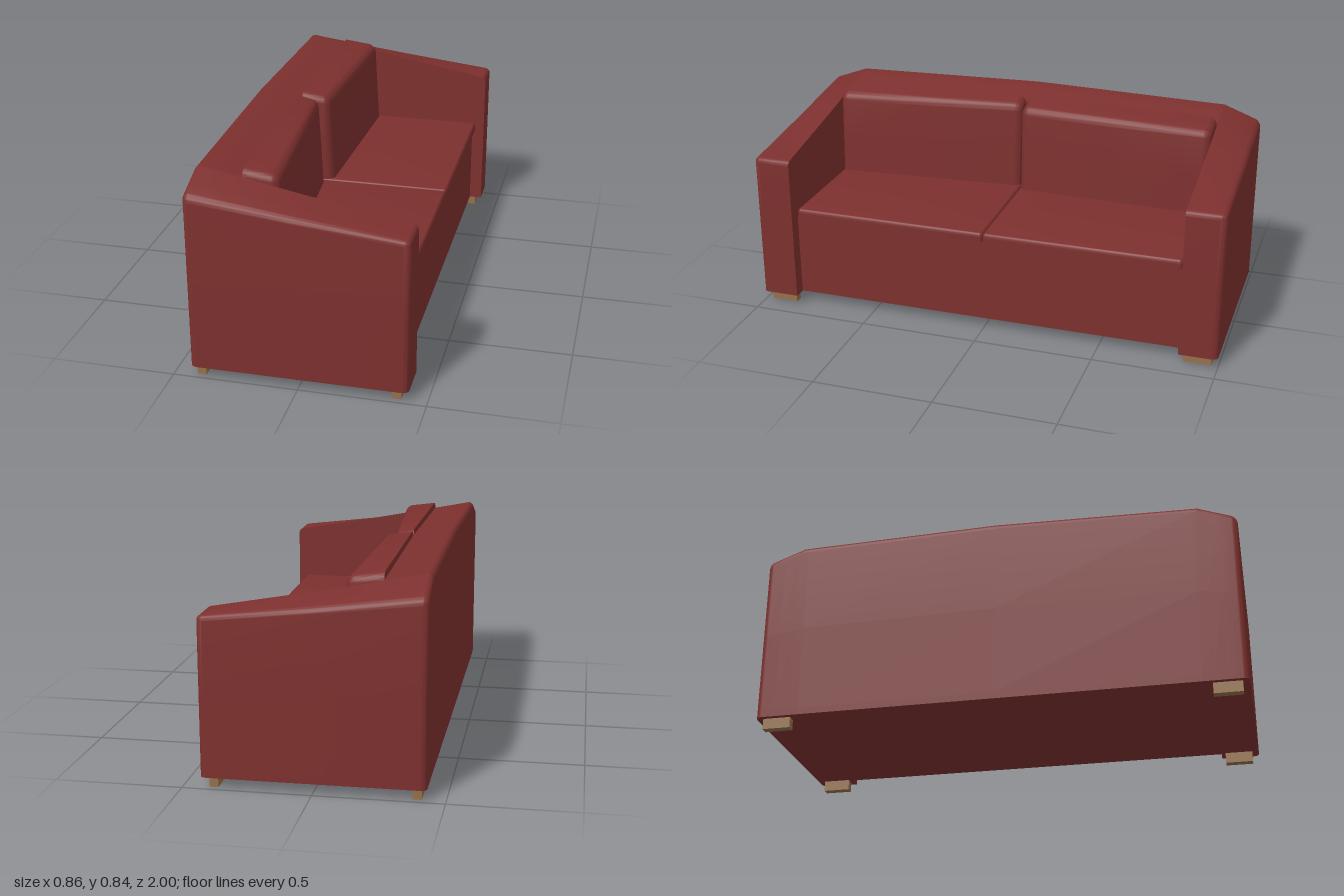
import * as THREE from 'three';
import { toCreasedNormals } from 'three/addons/utils/BufferGeometryUtils.js';

const fabric = new THREE.MeshStandardMaterial({ color: 0x7c302e });
const wood = new THREE.MeshStandardMaterial({ color: 0x95704a });
const lerp = THREE.MathUtils.lerp, clamp = THREE.MathUtils.clamp;

// Box from corner lo to corner hi; the sides listed in round ('x-', 'x+', ...) get radius r.
// warp(v) then reshapes the block.
function softBox(name, lo, hi, r, round, warp) {
  const N = 10;
  const geo = new THREE.BoxGeometry(1, 1, 1, N, N, N);
  const pos = geo.attributes.position;
  const has = round.split(' ');
  const axes = ['x', 'y', 'z'];
  const spread = axes.map((_, k) => {
    const a = lo[k], b = hi[k], m = (a + b) / 2;
    const near = [0, 0.3, 0.6, 0.85, 1].map((t) => t * r);
    return [...near.map((d) => a + d), m, ...near.map((d) => b - d).reverse()];
  });
  const v = new THREE.Vector3();
  for (let i = 0; i < pos.count; i++) {
    v.fromBufferAttribute(pos, i);
    const p = axes.map((c, k) => spread[k][Math.round((v[c] + 0.5) * N)]);
    const q = p.map((c, k) => clamp(c,
      lo[k] + (has.includes(axes[k] + '-') ? r : 0),
      hi[k] - (has.includes(axes[k] + '+') ? r : 0)));
    const d = new THREE.Vector3(p[0] - q[0], p[1] - q[1], p[2] - q[2]);
    const reach = Math.max(Math.abs(d.x), Math.abs(d.y), Math.abs(d.z));
    v.set(...q).add(d.normalize().multiplyScalar(reach));
    if (warp) warp(v);
    pos.setXYZ(i, v.x, v.y, v.z);
  }
  const mesh = new THREE.Mesh(toCreasedNormals(geo, 0.6), fabric);
  mesh.name = name;
  return mesh;
}

const FLOOR = 0.045, NOMINAL = 0.75;

// Height of the frame's top: a low ridge along the back, falling forward and outward
function frameTop(x, z) {
  const az = Math.abs(z);
  const rear = az < 0.84 ? 0.845 - 0.02 * az / 0.84 : lerp(0.825, 0.765, (az - 0.84) / 0.16);
  return lerp(rear, 0.673, clamp((x + 0.41) / 0.78, 0, 1));
}
function slopeTop(v) {
  const w = (v.y - FLOOR) / (NOMINAL - FLOOR);
  v.y += w * (frameTop(v.x, v.z) - NOMINAL);
}

export function createModel() {
  const sofa = new THREE.Group();
  sofa.name = 'sofa';

  // Frame: back and base
  sofa.add(softBox('back', [-0.43, FLOOR, -0.845], [-0.24, NOMINAL, 0.845], 0.025, 'x- y+', slopeTop));
  sofa.add(softBox('base', [-0.4, FLOOR, -0.85], [0.375, 0.402, 0.85], 0.01, ''));

  for (const s of [1, -1]) {
    const side = s > 0 ? 'left' : 'right';
    const span = (a, b) => (s > 0 ? [a, b] : [-b, -a]);

    // Sloping arm, rounded on its outer, front and top edges
    const [a0, a1] = span(0.84, 1);
    sofa.add(softBox(side + 'Arm', [-0.43, FLOOR, a0], [0.43, NOMINAL, a1], 0.025,
      'x- x+ y+ ' + (s > 0 ? 'z+' : 'z-'), slopeTop));

    // Thin seat cushion
    const [s0, s1] = span(0.001, 0.832);
    sofa.add(softBox(side + 'SeatCushion', [-0.25, 0.402, s0], [0.39, 0.442, s1], 0.012, 'x+ y+ z- z+'));

    // Back cushion, thicker toward the arm and leaning back a little
    const [c0, c1] = span(0.005, 0.836);
    const inner = s > 0 ? -0.145 : -0.108, outer = s > 0 ? -0.085 : -0.08;
    sofa.add(softBox(side + 'BackCushion', [-0.245, 0.44, c0], [-0.1, 0.82, c1], 0.035, 'x+ y+ z- z+', (v) => {
      const depth = (v.x + 0.245) / 0.145;
      const up = (v.y - 0.44) / 0.38;
      const front = lerp(inner, outer, Math.abs(v.z) / 0.836) - 0.02 * up;
      v.x = lerp(-0.245, front, depth);
      v.y += up * (0.012 - 0.018 * depth - 0.012 * Math.abs(v.z));
    }));

    // Short wooden feet
    for (const x of [-0.392, 0.382]) {
      const foot = new THREE.Mesh(new THREE.BoxGeometry(0.035, 0.05, 0.115), wood);
      foot.name = side + (x > 0 ? 'Front' : 'Rear') + 'Foot';
      foot.position.set(x, 0.025, s * 0.915);
      sofa.add(foot);
    }
  }
  return sofa;
}
